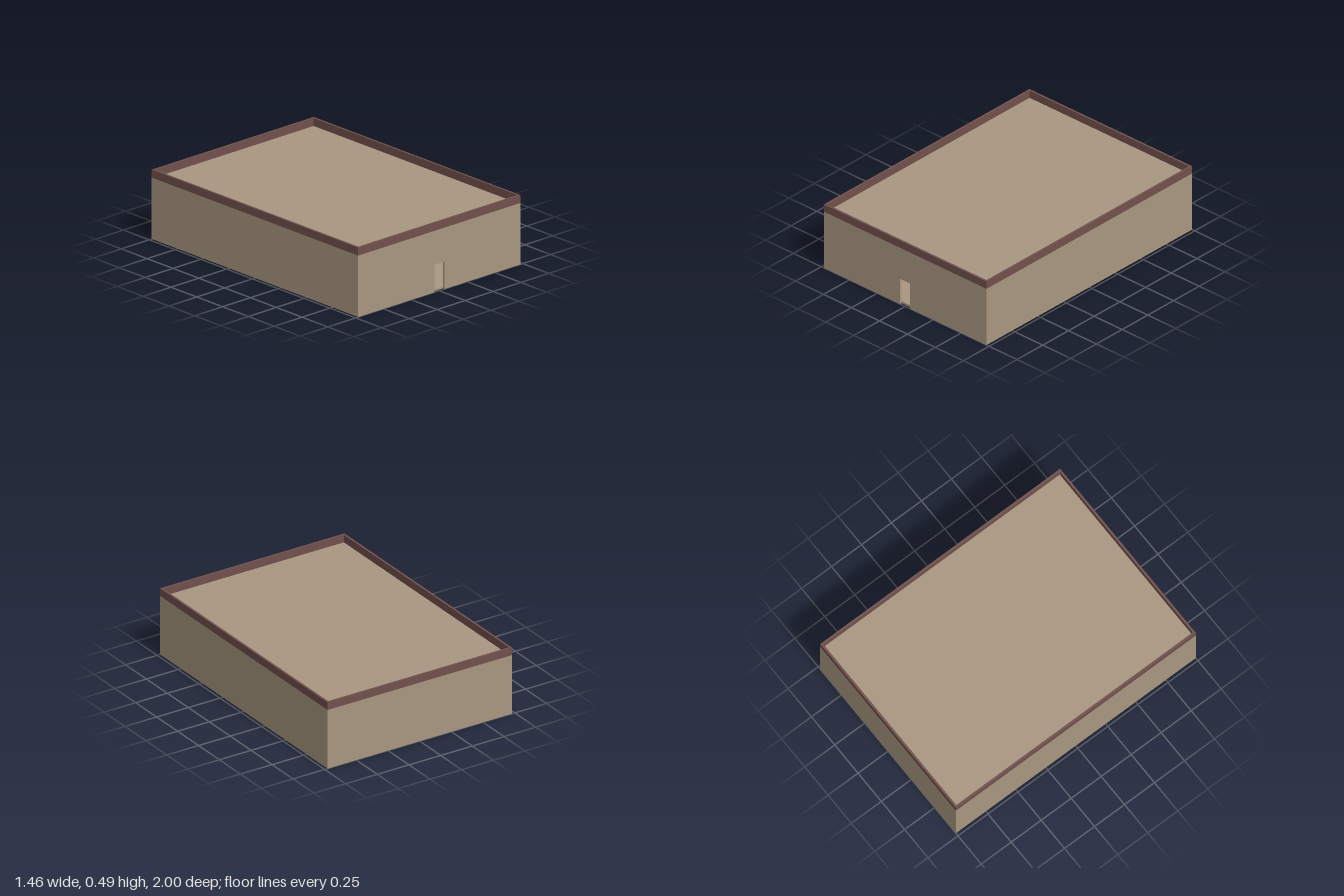
import * as THREE from 'three';

const W = 1.455, D = 2, T = 0.0145;          // footprint and wall thickness
const EAVES = 0.432, TOP = 0.488;            // roof level and parapet top
const DOOR_HALF = 0.045, DOOR_TOP = 0.194;

export function createModel() {
  const tan = new THREE.MeshStandardMaterial({ color: 0xa89780 });
  tan.name = 'tan wall';
  const brick = new THREE.MeshStandardMaterial({ color: 0x70504c });
  brick.name = 'brown red trim';

  const model = new THREE.Group();
  model.name = 'building';
  const add = (name, geometry, material, x, y, z) => {
    const mesh = new THREE.Mesh(geometry, material);
    mesh.name = name;
    mesh.position.set(x, y, z);
    model.add(mesh);
  };
  const box = (name, w, h, d, material, x, y, z) =>
    add(name, new THREE.BoxGeometry(w, h, d), material, x, y, z);

  // Front wall with a doorway notched up from the ground
  const front = new THREE.Shape();
  [[-W / 2, 0], [-DOOR_HALF, 0], [-DOOR_HALF, DOOR_TOP], [DOOR_HALF, DOOR_TOP],
    [DOOR_HALF, 0], [W / 2, 0], [W / 2, EAVES], [-W / 2, EAVES]]
    .forEach(([x, y], i) => (i ? front.lineTo(x, y) : front.moveTo(x, y)));
  add('frontWall', new THREE.ExtrudeGeometry(front, { depth: T, bevelEnabled: false }),
    tan, 0, 0, D / 2 - T);

  // Remaining walls enclose a hollow interior
  box('backWall', W, EAVES, T, tan, 0, EAVES / 2, -D / 2 + T / 2);
  for (const [side, s] of [['left', 1], ['right', -1]]) {
    box(side + 'Wall', T, EAVES, D - 2 * T, tan, s * (W - T) / 2, EAVES / 2, 0);
  }

  // Floor and flat roof slabs sit inside the walls
  box('floor', W - 2 * T, T, D - 2 * T, tan, 0, T / 2, 0);
  box('roof', W - 2 * T, T, D - 2 * T, tan, 0, EAVES - T / 2, 0);

  // Parapet ring around the roof
  const ring = new THREE.Shape();
  const rect = (path, w, d) => path.moveTo(-w, -d).lineTo(w, -d).lineTo(w, d).lineTo(-w, d).closePath();
  rect(ring, W / 2, D / 2);
  const hole = new THREE.Path();
  rect(hole, W / 2 - T, D / 2 - T);
  ring.holes.push(hole);
  const parapet = new THREE.ExtrudeGeometry(ring, { depth: TOP - EAVES, bevelEnabled: false });
  parapet.rotateX(-Math.PI / 2);
  add('parapet', parapet, brick, 0, EAVES, 0);

  return model;
}
